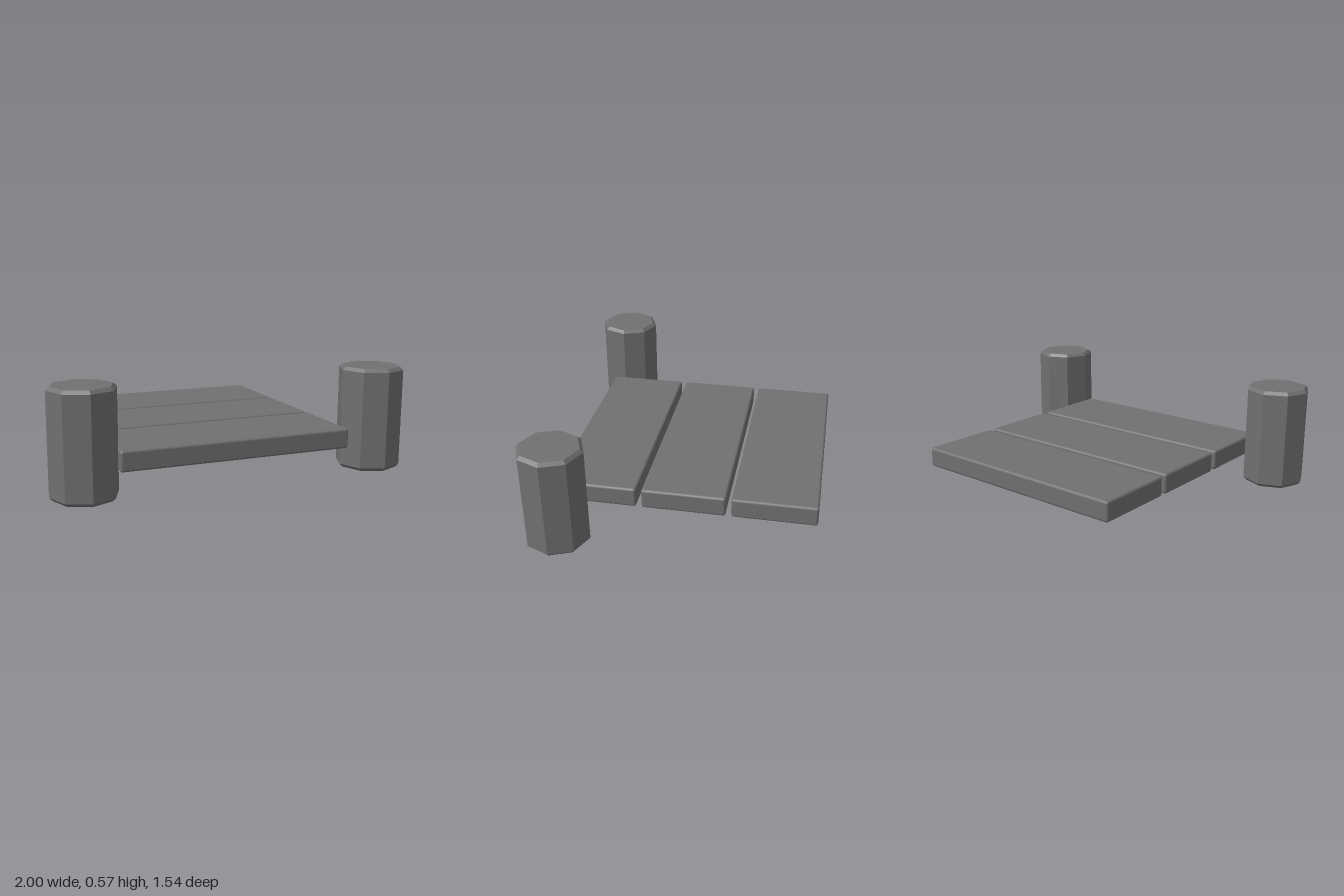
import * as THREE from 'three';
import { RoundedBoxGeometry } from 'three/addons/geometries/RoundedBoxGeometry.js';

const plankMaterial = new THREE.MeshStandardMaterial({ color: 0x707070 });
const postMaterial = new THREE.MeshStandardMaterial({ color: 0x707070, flatShading: true });

// Eight-sided post standing on y = 0, chamfered at both ends
function octagonPost(r, h, c) {
  const profile = [[0, 0], [r - c, 0], [r, c], [r, h - c], [r - c, h], [0, h]];
  return new THREE.LatheGeometry(profile.map(([a, b]) => new THREE.Vector2(a, b)), 8);
}

export function createModel() {
  const model = new THREE.Group();
  model.name = 'dockSection';

  // Three softly rounded deck planks, back to front
  const plankGeometry = new RoundedBoxGeometry(1.305, 0.112, 0.458, 2, 0.014);
  ['backPlank', 'middlePlank', 'frontPlank'].forEach((name, i) => {
    const plank = new THREE.Mesh(plankGeometry, plankMaterial);
    plank.name = name;
    plank.position.set(0, 0.18, -0.541 + i * 0.487);
    model.add(plank);
  });

  // Posts either side of the front plank
  const postGeometry = octagonPost(0.178, 0.57, 0.018);
  for (const side of [1, -1]) {
    const post = new THREE.Mesh(postGeometry, postMaterial);
    post.name = side > 0 ? 'leftPost' : 'rightPost';
    post.position.set(side * 0.822, 0, 0.592);
    model.add(post);
  }
  return model;
}
